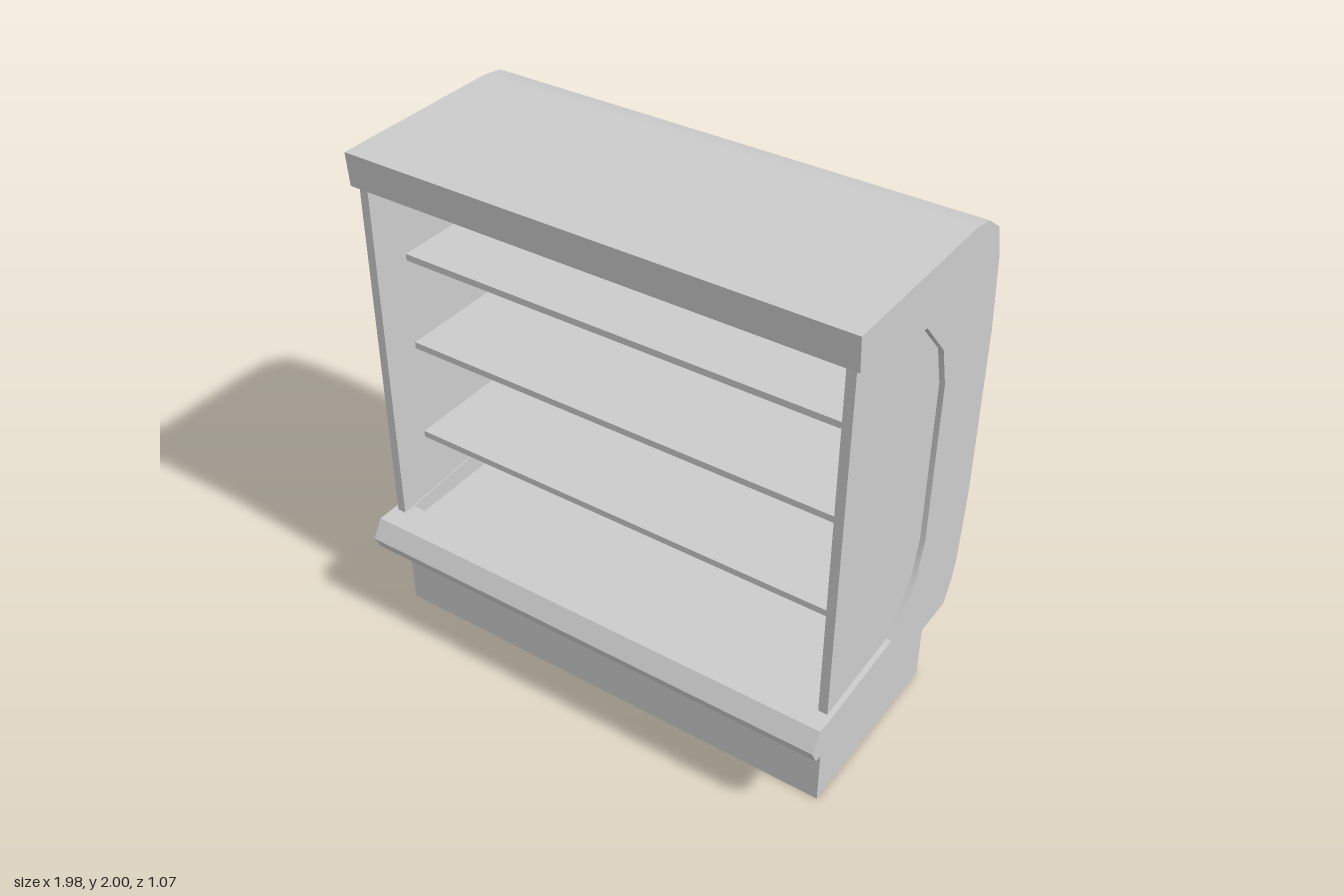
import * as THREE from 'three';
import { toCreasedNormals } from 'three/addons/utils/BufferGeometryUtils.js';

const CX = 0.0125; // middle of the cabinet body along x
const material = new THREE.MeshStandardMaterial({ color: 0xcccccc });
const thinMaterial = new THREE.MeshStandardMaterial({ color: 0xcccccc, side: THREE.DoubleSide });

// Outer side profile as (z, y), from the canopy front over the back to the lip
const outer = [
  [0.44, 2], [-0.29, 2], [-0.38, 1.985], [-0.47, 1.92], [-0.505, 1.79], [-0.53, 1.5],
  [-0.53, 0.8], [-0.505, 0.5], [-0.48, 0.41], [-0.435, 0.33],
  [0.505, 0.33], [0.535, 0.39], [0.49, 0.46],
];
// Opening in the end frames
const endOpening = [
  [0.41, 0.46], [0, 0.485], [-0.15, 0.65], [-0.19, 0.81],
  [-0.19, 1.47], [-0.145, 1.63], [0, 1.79], [0.43, 1.87],
];
// Deeper cavity between the end frames, with a sunken floor
const cavity = [[0.36, 0.46], [0.34, 0.4], [-0.26, 0.4], [-0.26, 1.87], [0.43, 1.87]];

// Extrude a (z, y) profile along x between x0 and x1
function profileMesh(name, points, x0, x1) {
  const shape = new THREE.Shape(points.map(([z, y]) => new THREE.Vector2(z, y)));
  const geometry = new THREE.ExtrudeGeometry(shape, { depth: x1 - x0, bevelEnabled: false });
  geometry.rotateY(-Math.PI / 2);
  geometry.translate(x1, 0, 0);
  const mesh = new THREE.Mesh(toCreasedNormals(geometry, 0.75), material);
  mesh.name = name;
  return mesh;
}

// Box given by its limits on each axis
function boxMesh(name, [x0, x1], [y0, y1], [z0, z1]) {
  const mesh = new THREE.Mesh(new THREE.BoxGeometry(x1 - x0, y1 - y0, z1 - z0), material);
  mesh.position.set((x0 + x1) / 2, (y0 + y1) / 2, (z0 + z1) / 2);
  mesh.name = name;
  return mesh;
}

export function createModel() {
  const group = new THREE.Group();
  group.name = 'displayCabinet';

  // Main shell with canopy, back and front lip
  group.add(profileMesh('cabinetShell', [...outer, ...cavity], CX - 0.9125, CX + 0.9125));

  // End frames and the side panels set into them
  for (const side of [-1, 1]) {
    const span = (a, b) => [CX + side * a, CX + side * b].sort((p, q) => p - q);
    const name = side > 0 ? 'left' : 'right';
    group.add(profileMesh(name + 'EndFrame', [...outer, ...endOpening], ...span(0.9125, 0.9725)));
    group.add(boxMesh(name + 'SidePanel', span(0.9175, 0.9525), [0.44, 1.868], [-0.23, 0.41]));
  }

  // Shelves
  [0.745, 1.15, 1.523].forEach((y, i) => {
    group.add(boxMesh('shelf' + (i + 1), [-0.895, 0.915], [y, y + 0.026], [-0.26, 0.27]));
  });

  // Hollow plinth, open underneath
  const x = 0.9325, z = 0.38;
  const outline = [[-x, -z], [x, -z], [x, z], [-x, z]];
  const walls = new THREE.Group();
  walls.name = 'plinth';
  outline.forEach(([ax, az], i) => {
    const [bx, bz] = outline[(i + 1) % 4];
    const wall = new THREE.Mesh(
      new THREE.PlaneGeometry(Math.hypot(bx - ax, bz - az), 0.33), thinMaterial);
    wall.position.set((ax + bx) / 2, 0.165, (az + bz) / 2);
    wall.rotation.y = Math.PI - i * Math.PI / 2;
    wall.name = 'plinthWall' + (i + 1);
    walls.add(wall);
  });
  walls.position.set(0.0075, 0, 0.005);
  group.add(walls);

  // Service covers on the right end
  group.add(boxMesh('upperServiceCover', [-0.99, -0.955], [0.86, 1.415], [-0.46, -0.26]));
  group.add(boxMesh('lowerServiceCover', [-0.955, -0.92], [0.05, 0.28], [-0.28, 0.08]));

  return group;
}
